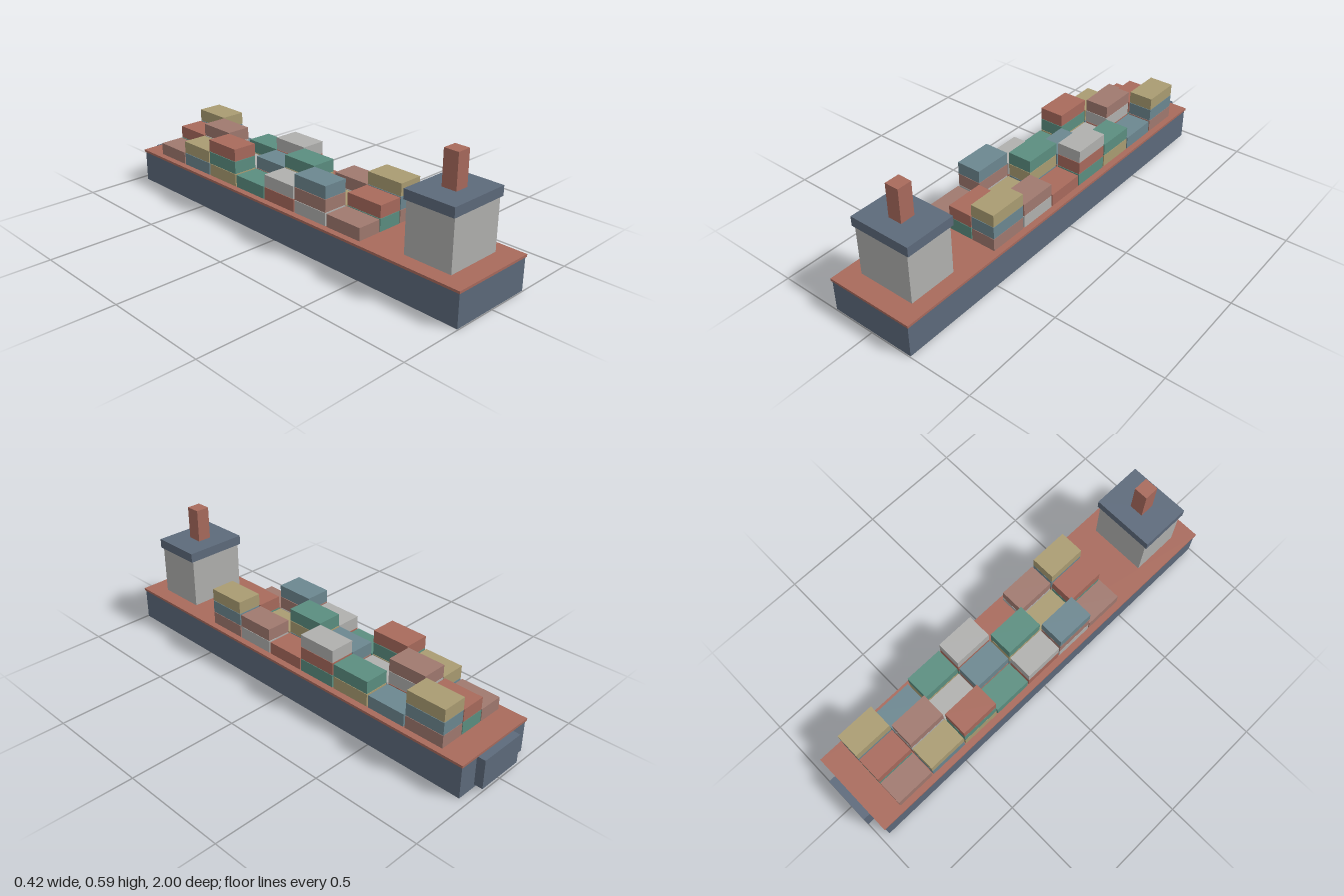
import * as THREE from 'three';

const mat = (name, color) => {
  const m = new THREE.MeshStandardMaterial({ color });
  m.name = name;
  return m;
};

export function createModel() {
  const ship = new THREE.Group();
  ship.name = 'containerShip';

  const navy = mat('hullNavy', 0x5d6a7b);
  const red = mat('brickRed', 0xa86a5c);
  const grey = mat('paleGrey', 0xb0b0ae);
  const pink = mat('dustyPink', 0xa0796f);
  const green = mat('seaGreen', 0x5b8e80);
  const yellow = mat('sandYellow', 0xaa9c72);
  const blue = mat('steelBlue', 0x6c8790);

  // Box given by its limits on each axis
  const box = (name, material, [x0, x1], [y0, y1], [z0, z1], parent = ship) => {
    const mesh = new THREE.Mesh(new THREE.BoxGeometry(x1 - x0, y1 - y0, z1 - z0), material);
    mesh.position.set((x0 + x1) / 2, (y0 + y1) / 2, (z0 + z1) / 2);
    mesh.name = name;
    parent.add(mesh);
  };

  // Hull, end block and deck
  box('hull', navy, [-0.204, 0.204], [0, 0.148], [-0.961, 0.996]);
  box('endBlock', navy, [-0.113, 0.113], [0.014, 0.1485], [-1, -0.93]);
  box('deck', red, [-0.209, 0.209], [0.148, 0.159], [-0.966, 1]);

  // Deckhouse, roof and funnel
  box('deckhouse', grey, [-0.137, 0.137], [0.159, 0.392], [0.678, 0.905]);
  box('deckhouseRoof', navy, [-0.148, 0.148], [0.392, 0.436], [0.672, 0.911]);
  box('funnel', red, [-0.033, 0.033], [0.436, 0.592], [0.758, 0.827]);

  // Cargo: 7 rows of 3 stacks, one to three containers high, colours cycling
  const cycle = [pink, grey, red, green, yellow, blue];
  const cargo = new THREE.Group();
  cargo.name = 'cargo';
  ship.add(cargo);
  for (let row = 0; row < 7; row++) {
    for (let col = 0; col < 3; col++) {
      const height = 1 + (col + 2 * row) % 3;
      for (let level = 0; level < height; level++) {
        const x = (col - 1) * 0.1215;
        const y = 0.1595 + level * 0.0595;
        const z = 0.392 - row * 0.1915;
        const material = cycle[(row + 3 * col - level + 6) % 6];
        box('container', material, [x - 0.0585, x + 0.0585], [y, y + 0.0575], [z - 0.092, z + 0.092], cargo);
      }
    }
  }
  return ship;
}
